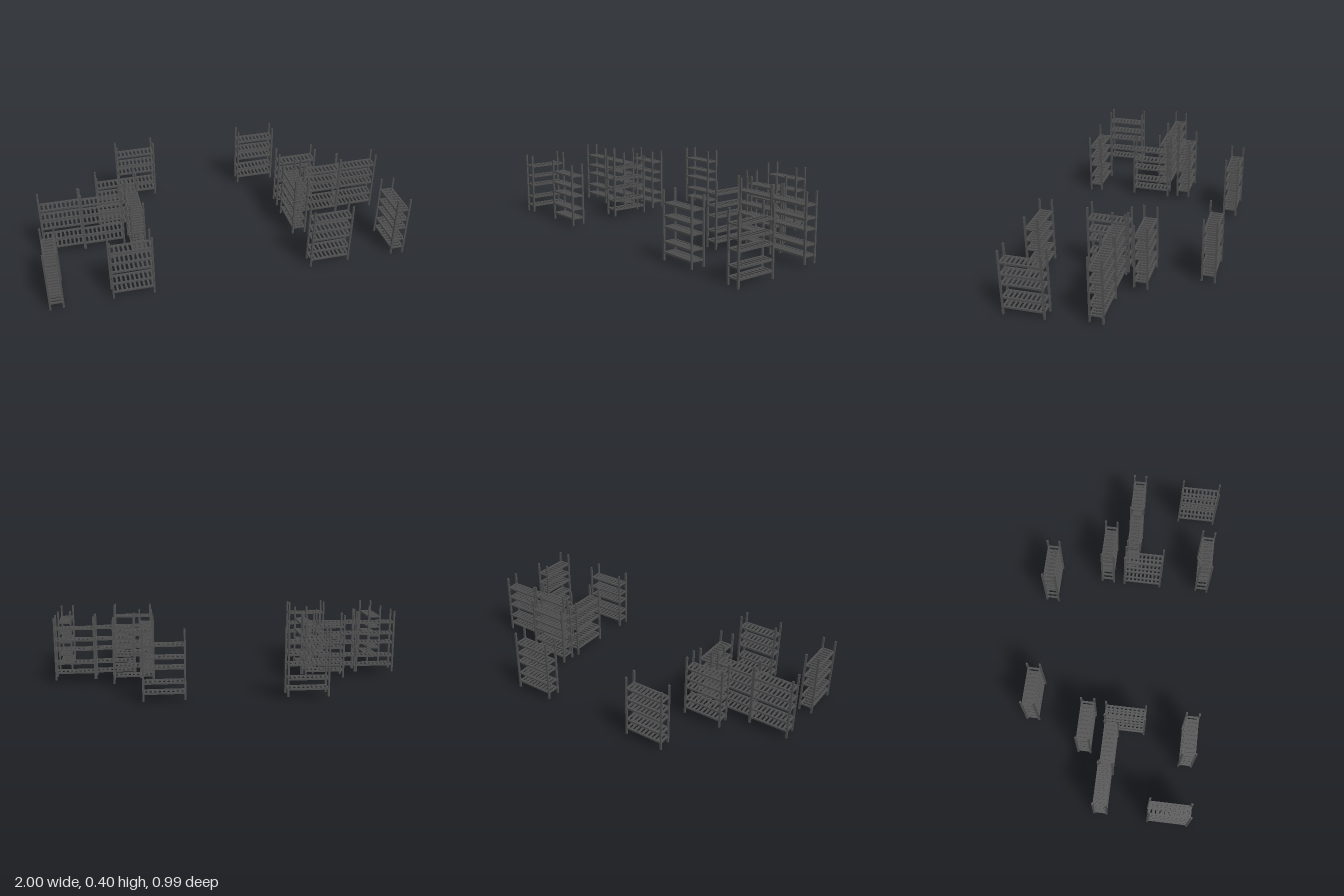
import * as THREE from 'three';

const material = new THREE.MeshStandardMaterial({ color: 0x4e4e4e, flatShading: true });
const HALF_LENGTH = 0.109, HALF_DEPTH = 0.0345;
const SHELF_HEIGHTS = [0, 0.055, 0.133, 0.188, 0.254];
const SLATS = 10;

const postGeometry = new THREE.BoxGeometry(0.01, 0.364, 0.01);
const railGeometry = new THREE.BoxGeometry(0.229, 0.01, 0.01);
const slatGeometry = new THREE.BoxGeometry(0.011, 0.008, 0.066);

// Corner posts: side along length, side along depth, outward shift, height shift
const POSTS = [
  [-1, -1, 0.003, 0.002],
  [1, -1, 0, 0.001],
  [-1, 1, 0, 0.001],
  [1, 1, 0.001, -0.003],
];

function add(parent, geometry, name, x, y, z) {
  const mesh = new THREE.Mesh(geometry, material);
  mesh.name = name;
  mesh.position.set(x, y, z);
  parent.add(mesh);
}

// One slatted shelf: two long rails bridged by cross slats
function createShelf() {
  const shelf = new THREE.Group();
  shelf.name = 'shelf';
  for (const side of [-1, 1]) add(shelf, railGeometry, 'shelfRail', 0, 0, side * 0.032);
  for (let i = 0; i < SLATS; i++) {
    const x = (i / (SLATS - 1) - 0.5) * 2 * 0.107;
    add(shelf, slatGeometry, 'shelfSlat', x, 0, 0);
  }
  return shelf;
}

// One rack, with its lowest shelf at y = 0; flip mirrors it along its length
function createRack(flip) {
  const rack = new THREE.Group();
  rack.name = 'shelvingRack';
  for (const [sx, sz, out, lift] of POSTS) {
    add(rack, postGeometry, 'cornerPost',
      flip * sx * (HALF_LENGTH + out), 0.143 + lift, sz * (HALF_DEPTH + out));
  }
  for (const y of SHELF_HEIGHTS) {
    const shelf = createShelf();
    shelf.position.y = y;
    rack.add(shelf);
  }
  return rack;
}

// Rack places on the right half: x, lowest shelf height, z, quarter turns
const PLACES = [
  [-0.382, 0.061, -0.4545, 2],
  [-0.543, 0.072, -0.1295, 2],
  [-0.876, 0.065, 0.0055, 2],
  [-0.650, 0.067, 0.0135, 2],
  [-0.471, 0.061, 0.0835, 1],
  [-0.960, 0.044, 0.3785, -1],
  [-0.553, 0.049, 0.4510, 0],
];

export function createModel() {
  const model = new THREE.Group();
  model.name = 'shelvingRacks';
  for (const side of [1, -1]) {
    for (const [x, y, z, turns] of PLACES) {
      const rack = createRack(side);
      rack.position.set(side * x, y, z);
      rack.rotation.y = side * turns * Math.PI / 2;
      model.add(rack);
    }
  }
  return model;
}
